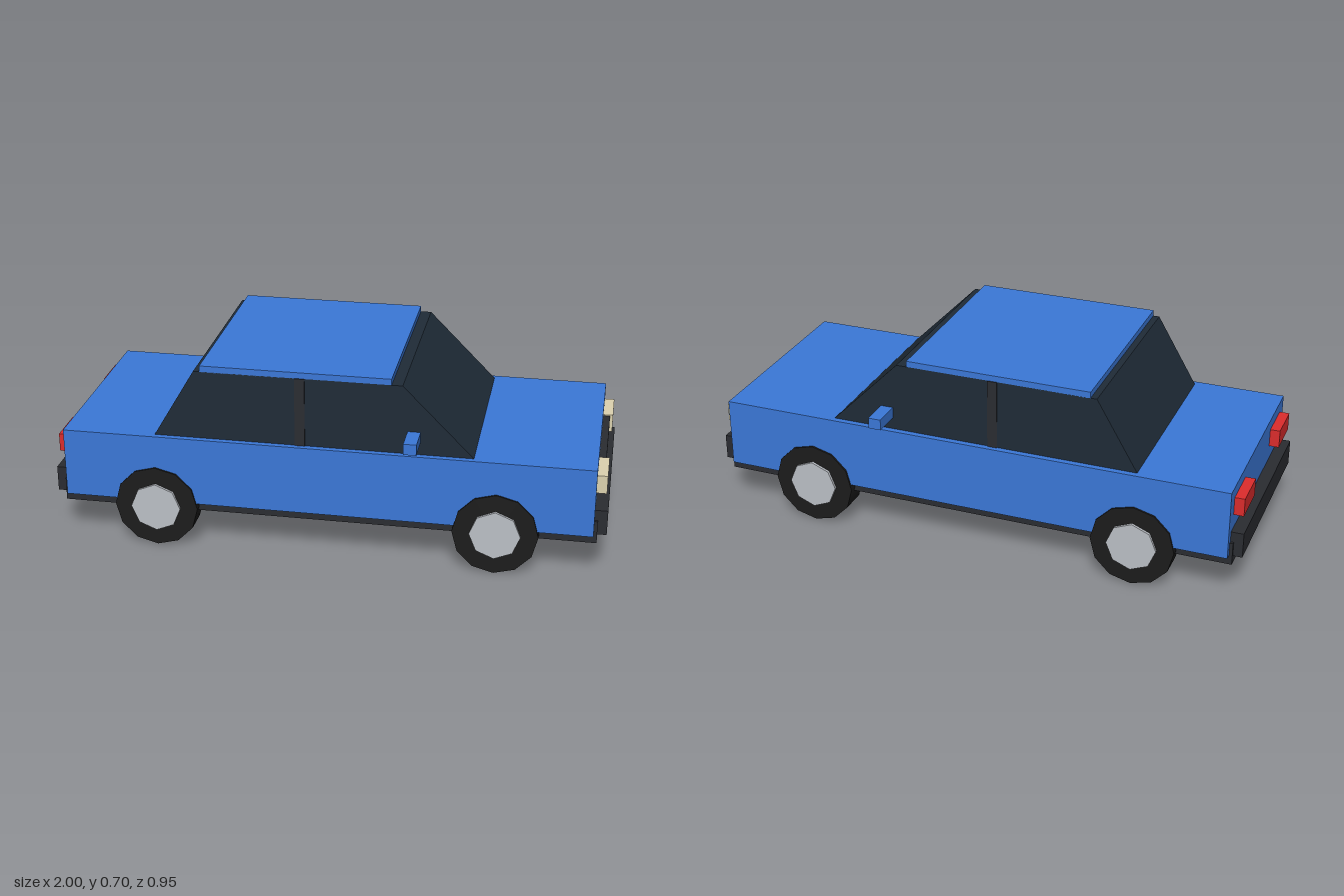
import * as THREE from 'three';

const paint = (color) => new THREE.MeshStandardMaterial({ color });
const blue = paint(0x3b78d8), glass = paint(0x1f2b37), trim = paint(0x2a2c31);
const rubber = paint(0x1c1c1c), metal = paint(0xbcc0c6);
const lampWhite = paint(0xddd3b0), lampRed = paint(0xdd2c2c);

export function createModel() {
  const car = new THREE.Group();
  car.name = 'car';

  const add = (name, geometry, material, parent = car) => {
    const mesh = new THREE.Mesh(geometry, material);
    mesh.name = name;
    parent.add(mesh);
    return mesh;
  };
  // Box given by its extents on each axis
  const box = (name, material, [x0, x1], [y0, y1], [z0, z1]) => {
    const mesh = add(name, new THREE.BoxGeometry(x1 - x0, y1 - y0, z1 - z0), material);
    mesh.position.set((x0 + x1) / 2, (y0 + y1) / 2, (z0 + z1) / 2);
    return mesh;
  };

  // Lower body and underbody (the nose points along +x)
  box('body', blue, [-0.955, 0.955], [0.172, 0.427], [-0.393, 0.393]);
  box('chassis', trim, [-0.967, 0.967], [0.138, 0.222], [-0.371, 0.371]);

  // Glasshouse: a trapezoid side profile extruded across the car
  const profile = new THREE.Shape([
    [-0.62, 0.425], [0.53, 0.425], [0.275, 0.682], [-0.468, 0.682],
  ].map(([x, y]) => new THREE.Vector2(x, y)));
  const cabin = new THREE.ExtrudeGeometry(profile, { depth: 0.742, bevelEnabled: false });
  cabin.translate(0, 0, -0.371);
  add('windows', cabin, glass);
  box('roof', blue, [-0.445, 0.236], [0.68, 0.704], [-0.371, 0.371]);

  // Bumpers and grille
  box('frontBumper', trim, [0.95, 1], [0.168, 0.261], [-0.361, 0.361]);
  box('rearBumper', trim, [-1, -0.95], [0.168, 0.261], [-0.361, 0.361]);
  box('grille', trim, [0.95, 0.98], [0.306, 0.381], [-0.19, 0.19]);

  // Parts mirrored across the car's length
  for (const side of [1, -1]) {
    const span = (a, b) => (side > 0 ? [a, b] : [-b, -a]);
    box('headlight', lampWhite, [0.95, 0.991], [0.318, 0.385], span(0.188, 0.341));
    box('tailLight', lampRed, [-0.991, -0.95], [0.318, 0.385], span(0.188, 0.341));
    box('doorPillar', trim, [-0.106, -0.07], [0.425, 0.682], span(0.36, 0.375));
    box('mirror', blue, [0.294, 0.34], [0.472, 0.512], span(0.37, 0.477));

    // Wheels: a tyre with a slightly wider hub
    for (const x of [-0.617, 0.613]) {
      const wheel = new THREE.Group();
      wheel.name = x > 0 ? 'frontWheel' : 'rearWheel';
      wheel.position.set(x, 0.153, side * 0.35);
      wheel.rotation.x = Math.PI / 2;
      add('tyre', new THREE.CylinderGeometry(0.153, 0.153, 0.1, 12), rubber, wheel);
      add('hub', new THREE.CylinderGeometry(0.091, 0.091, 0.12, 8), metal, wheel);
      car.add(wheel);
    }
  }
  return car;
}
